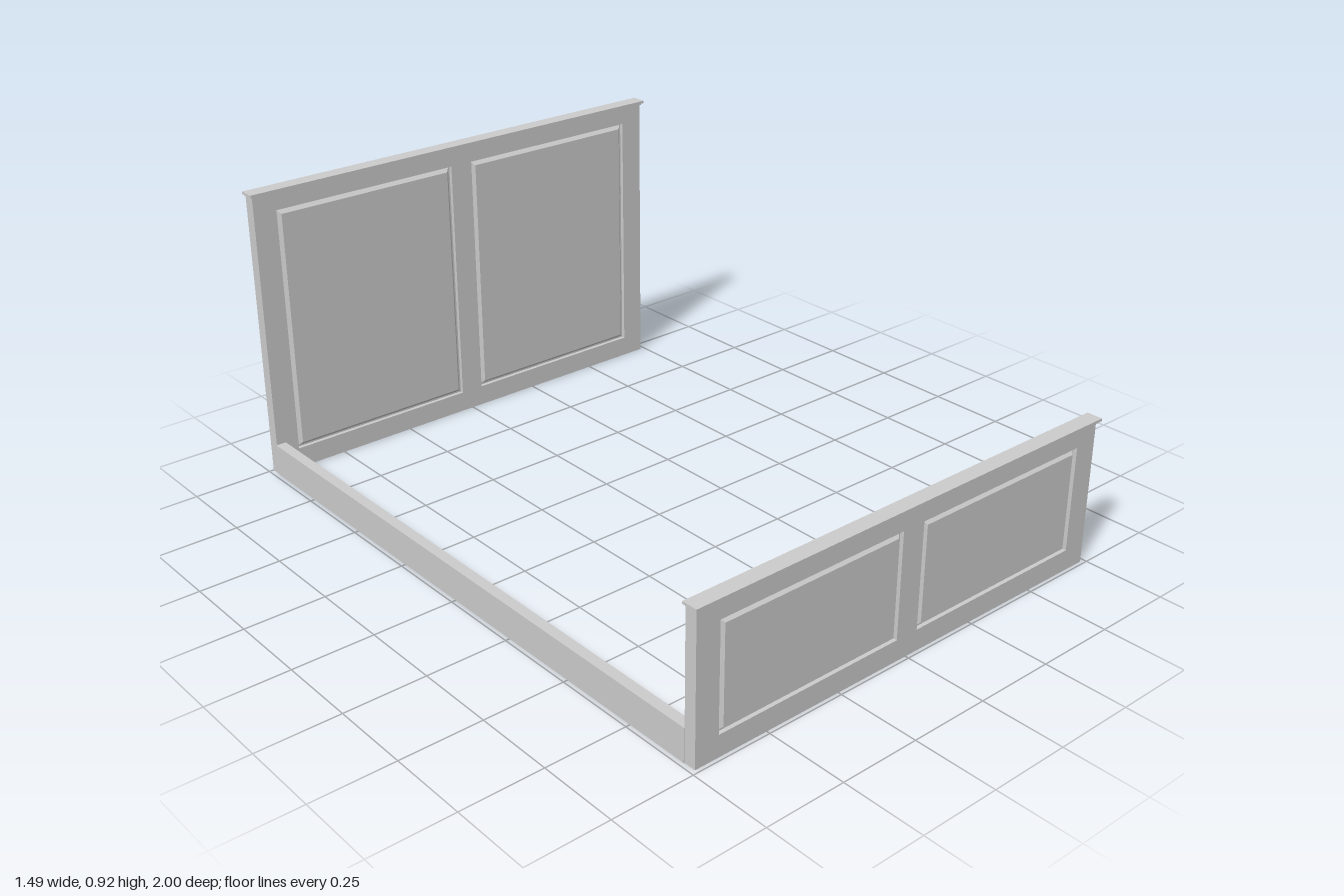
import * as THREE from 'three';

const material = new THREE.MeshStandardMaterial({ color: 0xcccccc, flatShading: true });
const HALF = 0.735;      // half width of the boards
const THICK = 0.038;     // board thickness
const RECESS = 0.012;    // depth of the panel openings

function add(parent, name, geometry, x = 0, y = 0, z = 0) {
  const mesh = new THREE.Mesh(geometry, material);
  mesh.name = name;
  mesh.position.set(x, y, z);
  parent.add(mesh);
  return mesh;
}

// Box given by its limits on each axis
function addBox(parent, name, [x0, x1], [y0, y1], [z0, z1]) {
  return add(parent, name, new THREE.BoxGeometry(x1 - x0, y1 - y0, z1 - z0),
    (x0 + x1) / 2, (y0 + y1) / 2, (z0 + z1) / 2);
}

function rectangle(Type, x0, x1, y0, y1) {
  return new Type([[x0, y0], [x1, y0], [x1, y1], [x0, y1]].map(([x, y]) => new THREE.Vector2(x, y)));
}

// Panelled board with its back at z = 0 and its decorated face towards +z
function panelledBoard(name, height) {
  const group = new THREE.Group();
  group.name = name;
  const capBottom = height - 0.008;
  const bottom = 0.066, top = height - 0.067;
  const openings = [[-0.66, -0.038], [0.038, 0.66]];

  // Plain back and the frame with two openings in front of it
  addBox(group, 'backPanel', [-HALF, HALF], [0, capBottom], [0, THICK - RECESS]);
  const outline = rectangle(THREE.Shape, -HALF, HALF, 0, capBottom);
  for (const [x0, x1] of openings) outline.holes.push(rectangle(THREE.Path, x0, x1, bottom, top));
  add(group, 'panelFrame', new THREE.ExtrudeGeometry(outline, { depth: RECESS, bevelEnabled: false }),
    0, 0, THICK - RECESS);

  // Raised fields with sloping edges, set in the openings
  const gap = 0.005, slope = 0.011, rise = 0.011;
  for (const [x0, x1] of openings) {
    const inset = gap + slope;
    const field = rectangle(THREE.Shape, x0 + inset, x1 - inset, bottom + inset, top - inset);
    add(group, 'raisedPanel', new THREE.ExtrudeGeometry(field, {
      depth: 0.002, bevelThickness: rise, bevelSize: slope, bevelSegments: 1,
    }), 0, 0, THICK - RECESS - 0.002);
  }

  // Stepped top moulding, overhanging the front and the ends
  addBox(group, 'capMoulding', [-HALF - 0.004, HALF + 0.004], [height - 0.014, capBottom], [0, THICK + 0.005]);
  addBox(group, 'cap', [-HALF - 0.01, HALF + 0.01], [capBottom, height], [0, THICK + 0.011]);
  return group;
}

export function createModel() {
  const bed = new THREE.Group();
  bed.name = 'bedFrame';

  const headboard = panelledBoard('headboard', 0.922);
  headboard.position.z = -1;
  const footboard = panelledBoard('footboard', 0.457);
  footboard.position.z = 0.951;
  bed.add(headboard, footboard);

  // Single side rail joining the two boards
  addBox(bed, 'sideRail', [-0.737, -0.704], [0, 0.102], [-1 + THICK, 0.951]);
  return bed;
}
